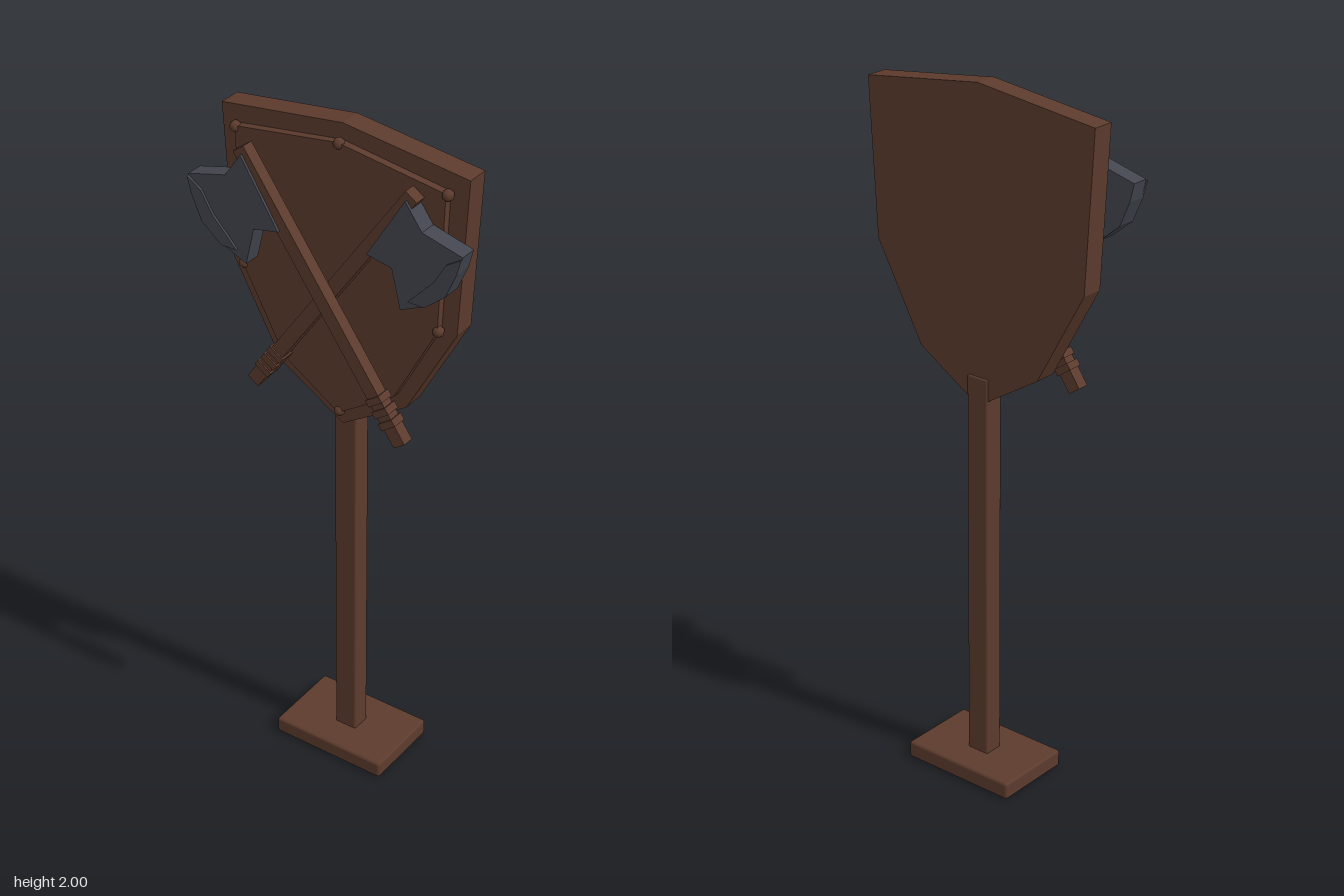
import * as THREE from 'three';
import { RoundedBoxGeometry } from 'three/addons/geometries/RoundedBoxGeometry.js';

export function createModel() {
  const model = new THREE.Group();
  model.name = 'axeTrophyStand';
  const wood = new THREE.MeshStandardMaterial({ color: 0x5c3b2d });
  wood.name = 'dark wood';
  const steel = new THREE.MeshStandardMaterial({ color: 0x43464f });
  steel.name = 'dark steel';

  const add = (parent, name, geometry, material, x = 0, y = 0, z = 0) => {
    const mesh = new THREE.Mesh(geometry, material);
    mesh.name = name;
    mesh.position.set(x, y, z);
    parent.add(mesh);
    return mesh;
  };
  // Flat plate cut from an outline, back face at z = 0
  const plate = (points, depth) => new THREE.ExtrudeGeometry(
    new THREE.Shape(points.map(([x, y]) => new THREE.Vector2(x, y))),
    { depth, bevelEnabled: false });
  // Symmetric outline from its right half; first and last points lie on x = 0
  const mirrored = (half) => [...half, ...half.slice(1, -1).reverse().map(([x, y]) => [-x, y])];

  // Foot and post
  add(model, 'base', new RoundedBoxGeometry(0.36, 0.05, 0.24, 2, 0.008), wood, 0, 0.025, -0.02);
  add(model, 'post', new RoundedBoxGeometry(0.07, 1.17, 0.06, 2, 0.006), wood, 0, 0.615, -0.02);

  // Shield board with a raised inner panel
  const board = [[0, 2], [0.373, 1.953], [0.348, 1.51], [0.2, 1.24], [0, 1.115]];
  const panel = [[0, 1.955], [0.318, 1.91], [0.303, 1.515], [0.175, 1.275], [0, 1.16]];
  add(model, 'shieldBoard', plate(mirrored(board), 0.065), wood, 0, 0, -0.045);
  add(model, 'shieldPanel', plate(mirrored(panel), 0.022), wood, 0, 0, 0.02);

  // Studs around the panel
  const studs = [[0, 1.95], [0.32, 1.905], [0.302, 1.515], [0, 1.165], [-0.32, 1.905], [-0.302, 1.515]];
  studs.forEach(([x, y]) => add(model, 'stud', new THREE.SphereGeometry(0.016, 8, 6), wood, x, y, 0.035));

  // Crossed axes, each with its head on the given side
  const head = [[0.235, 1.888], [0.122, 1.705], [0.198, 1.69], [0.225, 1.58],
    [0.3, 1.615], [0.36, 1.665], [0.39, 1.735], [0.403, 1.787], [0.285, 1.818]];
  const edge = [[0.25, 1.615], [0.3, 1.615], [0.36, 1.665], [0.39, 1.735], [0.403, 1.783],
    [0.36, 1.755], [0.325, 1.695]];
  const top = new THREE.Vector2(0.247, 1.9);
  const bottom = new THREE.Vector2(-0.247, 1.193);
  const length = top.distanceTo(bottom);
  const tilt = Math.atan2(bottom.x - top.x, top.y - bottom.y);

  for (const [side, z, name] of [[1, 0.069, 'leftAxe'], [-1, 0.105, 'rightAxe']]) {
    const axe = new THREE.Group();
    axe.name = name;
    axe.position.z = z;
    model.add(axe);
    const flip = (points) => points.map(([x, y]) => [x * side, y]);

    const shaft = new THREE.Group();
    shaft.name = 'shaft';
    shaft.position.set(0, (top.y + bottom.y) / 2, 0);
    shaft.rotation.z = tilt * side;
    axe.add(shaft);
    add(shaft, 'handle', new THREE.BoxGeometry(0.04, length, 0.035), wood);
    // Grip bands near the lower end
    for (const d of [0.065, 0.1, 0.135]) {
      add(shaft, 'gripBand', new THREE.BoxGeometry(0.05, 0.02, 0.044), wood, 0, d - length / 2, 0);
    }

    add(axe, 'axeHead', plate(flip(head), 0.05), steel, 0, 0, -0.025);
    add(axe, 'cuttingEdge', plate(flip(edge), 0.007), steel, 0, 0, 0.025);
  }
  return model;
}
